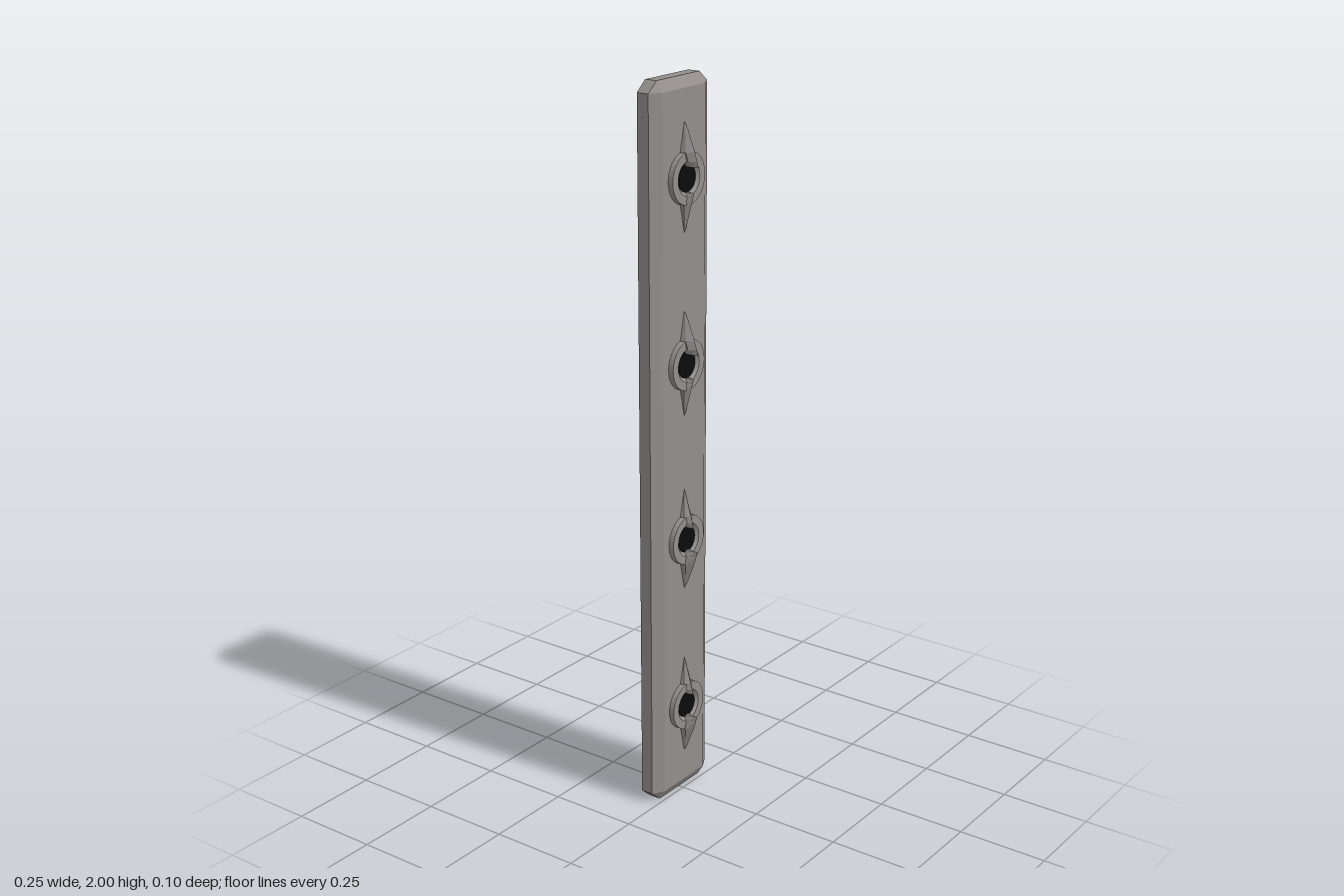
import * as THREE from 'three';

const metal = new THREE.MeshStandardMaterial({ color: 0x938e8c, side: THREE.DoubleSide });
metal.name = 'warmGreyMetal';
const dark = new THREE.MeshStandardMaterial({ color: 0x0b0b0b });
dark.name = 'black';

// Flat-shaded skin through rings of points, with optional end caps
function loft(rings, capStart, capEnd) {
  const out = [];
  const tri = (a, b, c) => out.push(...a, ...b, ...c);
  const n = rings[0].length;
  for (let k = 0; k < rings.length - 1; k++) {
    const a = rings[k], b = rings[k + 1];
    for (let i = 0; i < n; i++) {
      const j = (i + 1) % n;
      tri(a[i], a[j], b[j]);
      tri(a[i], b[j], b[i]);
    }
  }
  const last = rings[rings.length - 1];
  for (let i = 1; i < n - 1; i++) {
    if (capStart) tri(rings[0][0], rings[0][i + 1], rings[0][i]);
    if (capEnd) tri(last[0], last[i], last[i + 1]);
  }
  const g = new THREE.BufferGeometry();
  g.setAttribute('position', new THREE.Float32BufferAttribute(out, 3));
  g.computeVertexNormals();
  return g;
}

function mesh(name, geometry, material) {
  const m = new THREE.Mesh(geometry, material);
  m.name = name;
  return m;
}

// Open-backed plate with cut corners and a bevelled front
function panelGeometry() {
  const W = 0.124, w = 0.09, y0 = 0.03, y1 = 1.972;
  const rim = z => [
    [-w, 0, z], [w, 0, z], [W, y0, z], [W, y1, z],
    [w, 2, z], [-w, 2, z], [-W, y1, z], [-W, y0, z],
  ];
  const face = [
    [-w, y0], [w, y0], [w, y0], [w, y1],
    [w, y1], [-w, y1], [-w, y1], [-w, y0],
  ].map(([x, y]) => [x, y, 0.004]);
  return loft([rim(-0.05), rim(-0.015), face], false, true);
}

// Pointed fin along +y; height is the ridge at its inner end
function finGeometry(inner, height) {
  const base = 0.003;
  const sections = [
    // distance from centre, half width, ridge height
    [inner, 0.005, height],
    [inner + 0.014, 0.012, height * 0.93],
    [0.068, 0.018, height * 0.78],
    [0.1, 0.01, height * 0.52],
    [0.125, 0.005, height * 0.32],
    [0.145, 0, base],
  ];
  return loft(sections.map(([r, w, h]) => {
    const mid = base + (h - base) * 0.5;
    return [[-w, r, base], [-w * 0.9, r, mid], [0, r, h], [w * 0.9, r, mid], [w, r, base]];
  }), true, false);
}

// Ring with a sloped recess, turned to face +z
function ringGeometry() {
  const profile = [[0.069, 0.002], [0.069, 0.019], [0.046, 0.019], [0.036, 0.01], [0.036, 0.004]];
  const g = new THREE.LatheGeometry(profile.map(p => new THREE.Vector2(...p)), 28);
  g.rotateX(Math.PI / 2);
  const flat = g.toNonIndexed();
  flat.computeVertexNormals();
  return flat;
}

export function createModel() {
  const model = new THREE.Group();
  model.name = 'studdedPanel';
  model.add(mesh('panel', panelGeometry(), metal));

  const ring = ringGeometry();
  const tallFin = finGeometry(0.03, 0.048);
  const lowFin = finGeometry(0.036, 0.034);
  const core = new THREE.CylinderGeometry(0.036, 0.036, 0.008, 24).rotateX(Math.PI / 2);

  // Four studs; the lower pair is turned upside down
  [0.265, 0.76, 1.252, 1.745].forEach((y, i) => {
    const stud = new THREE.Group();
    stud.name = 'stud' + (i + 1);
    const low = mesh('lowFin', lowFin, metal);
    low.rotation.z = Math.PI;
    const centre = mesh('darkCentre', core, dark);
    centre.position.z = 0.009;
    stud.add(mesh('ring', ring, metal), centre, mesh('tallFin', tallFin, metal), low);
    stud.position.y = y;
    if (i < 2) stud.rotation.z = Math.PI;
    model.add(stud);
  });
  return model;
}
